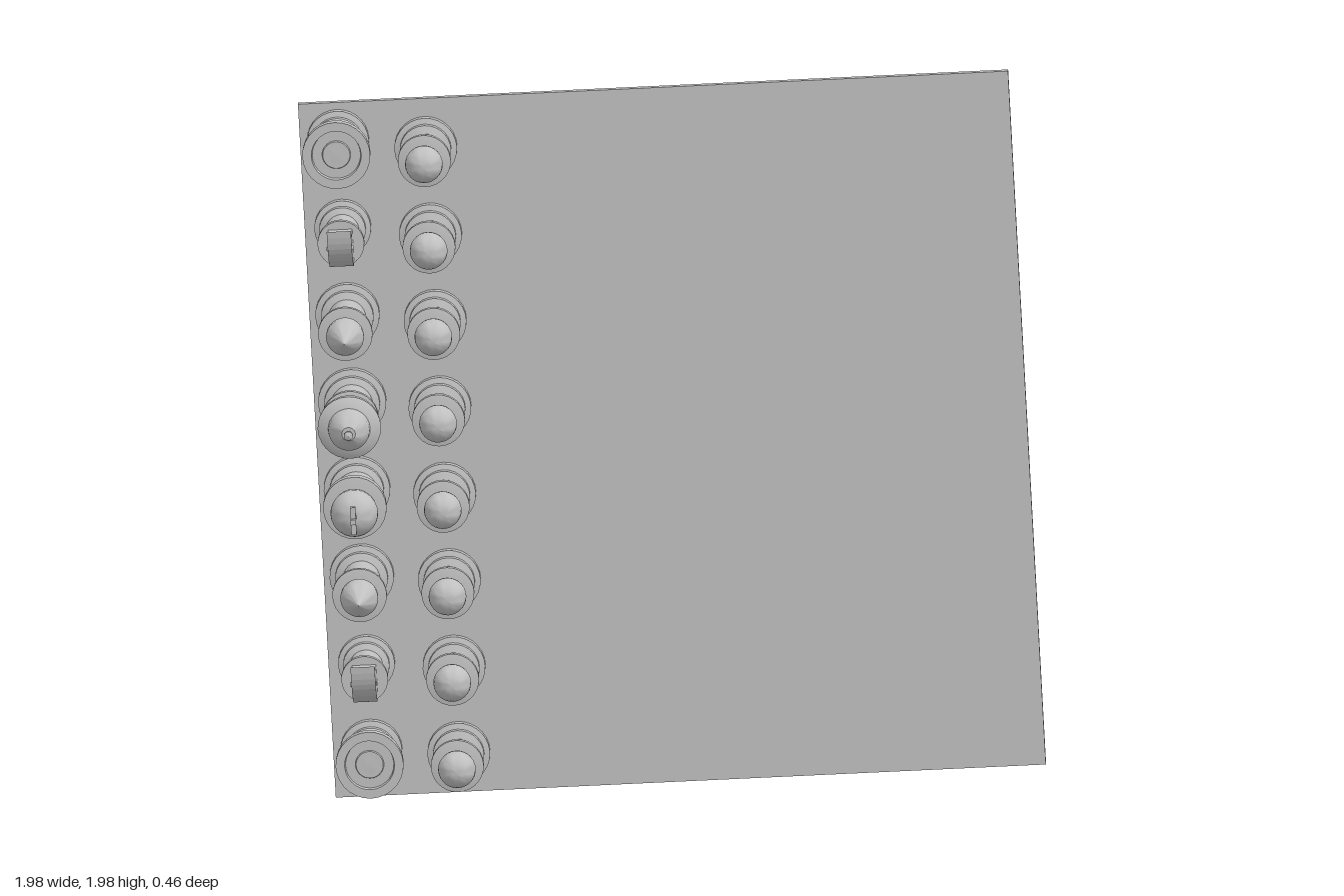
import * as THREE from 'three';
import { toCreasedNormals } from 'three/addons/utils/BufferGeometryUtils.js';

const grey = new THREE.MeshStandardMaterial({ color: 0xc0c0c0 });
grey.name = 'plain grey';

function mesh(name, geometry) {
  const m = new THREE.Mesh(geometry, grey);
  m.name = name;
  return m;
}

// Turned part: [radius, height] pairs, standing along +z
function turned(name, profile) {
  const pts = profile.map(([r, h]) => new THREE.Vector2(r, h));
  const g = toCreasedNormals(new THREE.LatheGeometry(pts, 28), 0.6);
  g.rotateX(Math.PI / 2);
  return mesh(name, g);
}

// Rounded run of profile points between two angles (measured from the equator)
function arc(r, stretch, centre, from, to, n = 8) {
  return Array.from({ length: n + 1 }, (_, i) => {
    const t = from + (to - from) * i / n;
    return [Math.max(0, r * Math.cos(t)), centre + r * stretch * Math.sin(t)];
  });
}

// Stepped foot and shaft shared by every piece
function foot(r, shaft, top) {
  return [[0, 0], [r, 0], [r, 0.022], [r * 0.82, 0.026], [r * 0.82, 0.045],
    [shaft, 0.052], [shaft, top]];
}

function pawn() {
  const g = new THREE.Group();
  g.add(turned('pawnBody', [...foot(0.083, 0.047, 0.152), [0.07, 0.156], [0.07, 0.173], [0.045, 0.178], [0, 0.178]]));
  g.add(turned('pawnHead', arc(0.05, 1, 0.21, -Math.PI / 2, Math.PI / 2, 12)));
  return g;
}

function rook() {
  const g = new THREE.Group();
  g.add(turned('rookTower', [...foot(0.082, 0.062, 0.16), [0.09, 0.167], [0.09, 0.195],
    [0.066, 0.195], [0.064, 0.182], [0.038, 0.182], [0.036, 0.188], [0.016, 0.188], [0, 0.19]]));
  return g;
}

function knight() {
  const g = new THREE.Group();
  g.add(turned('knightBody', [...foot(0.075, 0.045, 0.185), [0.062, 0.19], [0.062, 0.208], [0, 0.208]]));
  // Head drawn in the plane of board height and piece height
  const s = new THREE.Shape();
  s.moveTo(-0.04, 0.2);
  s.lineTo(0.04, 0.2);
  s.lineTo(0.03, 0.268);
  s.lineTo(0.058, 0.318);
  s.quadraticCurveTo(0.0, 0.315, -0.03, 0.28);
  s.lineTo(-0.055, 0.235);
  s.closePath();
  const head = new THREE.ExtrudeGeometry(s, { depth: 0.064, bevelEnabled: false, curveSegments: 6 });
  head.translate(0, 0, -0.032);
  // shape x -> y, shape y -> z, depth -> x
  head.applyMatrix4(new THREE.Matrix4().makeBasis(
    new THREE.Vector3(0, 1, 0), new THREE.Vector3(0, 0, 1), new THREE.Vector3(1, 0, 0)));
  g.add(mesh('knightHead', head));
  for (const side of [-1, 1]) {
    const eye = mesh('knightEye', new THREE.CylinderGeometry(0.006, 0.006, 0.005, 10));
    eye.rotation.z = Math.PI / 2;
    eye.position.set(side * 0.033, 0.005, 0.285);
    g.add(eye);
  }
  return g;
}

function bishop() {
  const g = new THREE.Group();
  g.add(turned('bishopBody', [...foot(0.085, 0.05, 0.228), [0.072, 0.233], [0.072, 0.248], [0.045, 0.252], [0, 0.252]]));
  g.add(turned('bishopMitre', [[0, 0.25], [0.042, 0.25], [0.05, 0.268], [0.05, 0.285],
    [0.042, 0.305], [0.026, 0.332], [0.01, 0.357], [0, 0.372]]));
  return g;
}

function queen() {
  const g = new THREE.Group();
  g.add(turned('queenBody', [...foot(0.09, 0.056, 0.2), [0.075, 0.204], [0.075, 0.22], [0.054, 0.224],
    [0.054, 0.275], [0.082, 0.298], [0.084, 0.325], [0.058, 0.342], [0, 0.342]]));
  g.add(turned('queenCrown', [[0, 0.34], [0.056, 0.34], [0.054, 0.362], [0.04, 0.385], [0.018, 0.403], [0, 0.403]]));
  g.add(turned('queenFinial', [[0, 0.4], [0.008, 0.4], [0.008, 0.412], [0.012, 0.418], [0.012, 0.428], [0, 0.434]]));
  return g;
}

function king() {
  const g = new THREE.Group();
  g.add(turned('kingBody', [...foot(0.088, 0.056, 0.21), [0.084, 0.216], [0.084, 0.245], [0.05, 0.25], [0, 0.25]]));
  g.add(turned('kingCrown', [[0, 0.248], [0.046, 0.25], [0.06, 0.278],
    ...arc(0.063, 0.9, 0.305, 0, Math.PI / 2)]));
  const stem = mesh('kingCrossStem', new THREE.BoxGeometry(0.014, 0.014, 0.065));
  stem.position.z = 0.387;
  const arm = mesh('kingCrossArm', new THREE.BoxGeometry(0.014, 0.074, 0.016));
  arm.position.z = 0.396;
  g.add(stem, arm);
  return g;
}

export function createModel() {
  const model = new THREE.Group();
  model.name = 'chessBoard';

  // Tilted set: local x across, y up the ranks, z out of the board
  const set = new THREE.Group();
  set.name = 'tiltedSet';
  const u = new THREE.Vector3(1.87, 0.1, 0.185).normalize();
  const v = new THREE.Vector3(-0.1, 1.87, 0).normalize();
  const n = new THREE.Vector3().crossVectors(u, v).normalize();
  set.quaternion.setFromRotationMatrix(new THREE.Matrix4().makeBasis(u, v, n));
  set.position.set(0.011, 0.995, -0.12);
  model.add(set);

  const board = mesh('board', new THREE.BoxGeometry(1.882, 1.882, 0.02));
  board.position.z = -0.01;
  set.add(board);

  // Back rank from top to bottom, with a pawn beside each piece
  const rank = { rook1: rook, knight1: knight, bishop1: bishop, queen, king, bishop2: bishop, knight2: knight, rook2: rook };
  Object.entries(rank).forEach(([name, make], i) => {
    const piece = make();
    piece.name = name;
    piece.position.set(-0.84, 0.84 - 0.2364 * i, 0);
    const p = pawn();
    p.name = 'pawn' + (i + 1);
    p.position.set(-0.609, 0.809 - 0.2346 * i, 0);
    set.add(piece, p);
  });
  return model;
}
